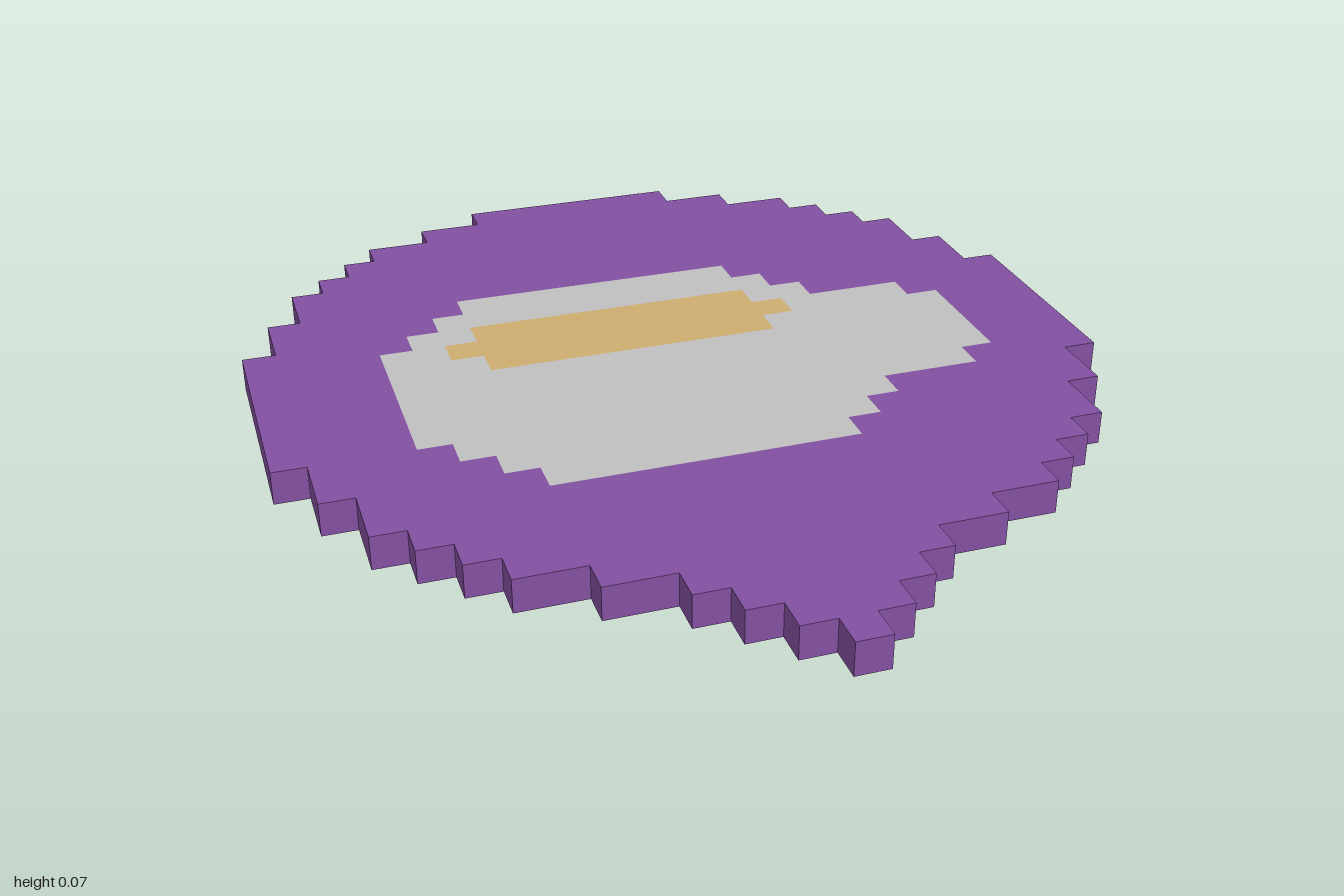
import * as THREE from 'three';
import { mergeGeometries } from 'three/addons/utils/BufferGeometryUtils.js';

const CELL = 1 / 14;      // one pixel of the stepped pattern
const HEIGHT = CELL;      // the plate is one pixel thick

// Runs of rows from back to front: [left, right, number of rows], in cells
const same = (half, count) => [-half, half, count];
const BORDER = [
  same(3.5, 1), same(5.5, 1), same(7.5, 1), same(8.5, 1), same(9.5, 1), same(10.5, 2),
  same(11.5, 2), same(12.5, 7), same(11.5, 2), same(10.5, 2), same(9.5, 1), same(8.5, 1),
  same(7.5, 1), same(5.5, 1), same(3.5, 1), same(2.5, 1), same(1.5, 1), same(0.5, 1),
];
const PANEL = [
  [-5.5, 3.5, 1], [-6.5, 4.5, 1], [-7.5, 5.5, 1], [-8.5, 8.5, 1], [-8.5, 9.5, 4],
  [-8.5, 8.5, 1], [-7.5, 5.5, 1], [-6.5, 4.5, 1], [-5.5, 3.5, 1],
];
const BAR = [[-5.5, 3.5, 1], [-6.5, 4.5, 1], [-5.5, 3.5, 1]];

// Stepped outline as [x, z] points: down the right side, back up the left
function outline(runs, firstRow) {
  const right = [], left = [];
  let z = firstRow * CELL - 1;
  for (const [l, r, count] of runs) {
    const next = z + count * CELL;
    right.push([r * CELL, z], [r * CELL, next]);
    left.unshift([l * CELL, next], [l * CELL, z]);
    z = next;
  }
  return [...right, ...left];
}

// Matching top and bottom faces of one colour area
function faces(points, hole) {
  const side = (up) => {
    const flat = (pts) => pts.map(([x, z]) => new THREE.Vector2(x, up ? -z : z));
    const shape = new THREE.Shape(flat(points));
    if (hole) shape.holes.push(new THREE.Path(flat(hole)));
    return new THREE.ShapeGeometry(shape)
      .rotateX(up ? -Math.PI / 2 : Math.PI / 2)
      .translate(0, up ? HEIGHT : 0, 0)
      .toNonIndexed();
  };
  return mergeGeometries([side(true), side(false)]);
}

// Upright wall around an outline
function wall(points) {
  const position = [];
  points.forEach(([ax, az], i) => {
    const [bx, bz] = points[(i + 1) % points.length];
    position.push(ax, 0, az, ax, HEIGHT, az, bx, HEIGHT, bz);
    position.push(ax, 0, az, bx, HEIGHT, bz, bx, 0, bz);
  });
  const geometry = new THREE.BufferGeometry();
  geometry.setAttribute('position', new THREE.Float32BufferAttribute(position, 3));
  geometry.computeVertexNormals();
  return geometry;
}

function material(name, color) {
  const m = new THREE.MeshStandardMaterial({ color });
  m.name = name;
  return m;
}

export function createModel() {
  const group = new THREE.Group();
  group.name = 'pixelPlate';
  const purple = material('purple', 0x8250a0);
  const grey = material('grey', 0xc0c0c0);
  const gold = material('gold', 0xcdac70);

  const add = (name, geometry, mat) => {
    const mesh = new THREE.Mesh(geometry, mat);
    mesh.name = name;
    group.add(mesh);
  };

  const border = outline(BORDER, 0);
  const panel = outline(PANEL, 7);
  const bar = outline(BAR, 9);

  add('border', faces(border, panel), purple);
  add('rim', wall(border), purple);
  add('panel', faces(panel, bar), grey);
  add('bar', faces(bar), gold);
  return group;
}
